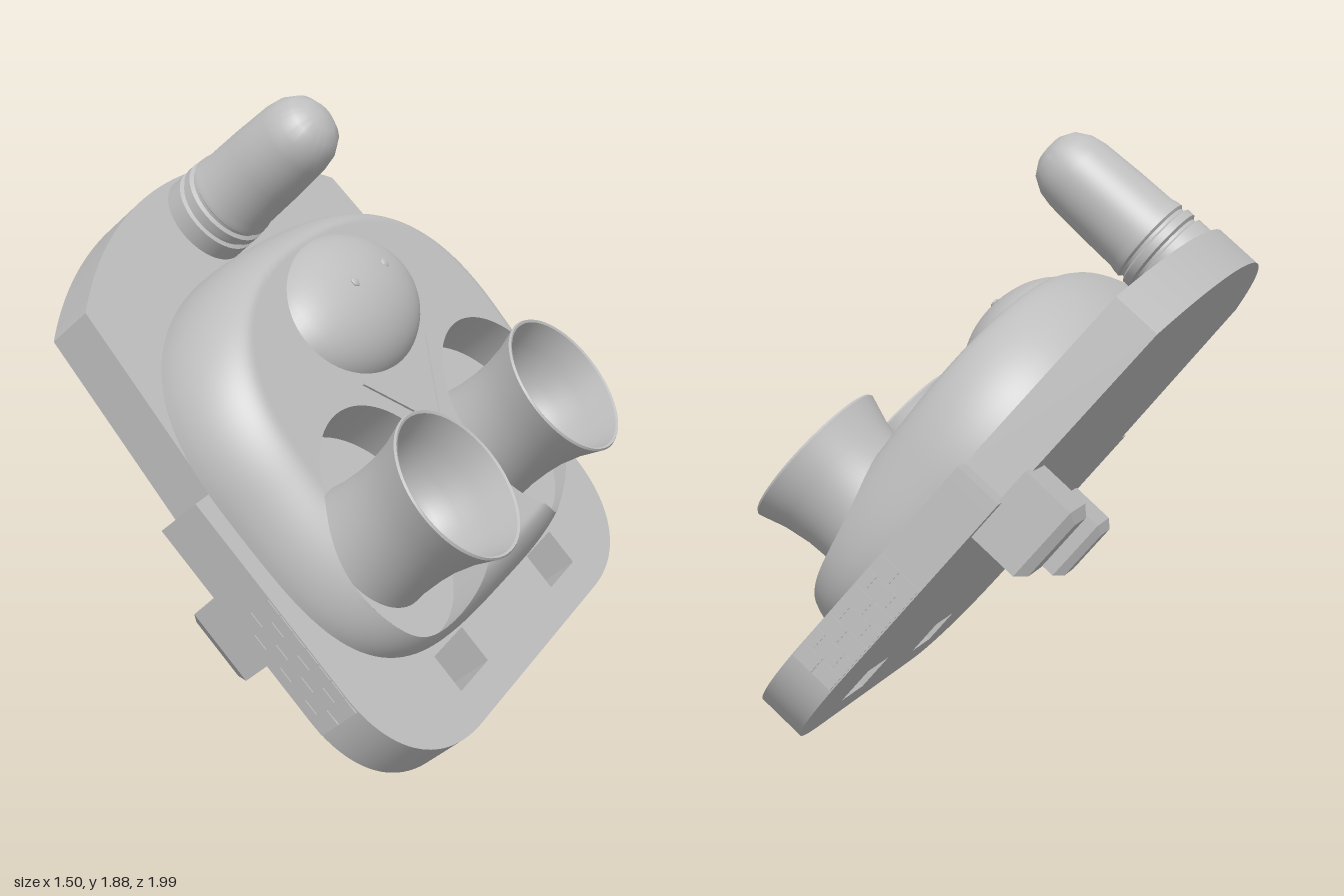
import * as THREE from 'three';
import { toCreasedNormals } from 'three/addons/utils/BufferGeometryUtils.js';

const grey = new THREE.MeshStandardMaterial({ color: 0xbebebe, side: THREE.DoubleSide });
grey.name = 'plain grey';

const THICK = 0.155;                                    // base plate thickness
const POCKET = { x: 0.443, y: 0.338, r: 0.35, floor: 0.045 };
const DOME = { a: 0.87, cy: 0.62, top: 0.655, bottom: 0.675 };

function add(parent, name, geo, x = 0, y = 0, z = 0) {
  const mesh = new THREE.Mesh(geo, grey);
  mesh.name = name;
  mesh.position.set(x, y, z);
  parent.add(mesh);
  return mesh;
}

// Turned part whose axis points out of the plate (+z)
function turned(points, segments = 64) {
  const geo = new THREE.LatheGeometry(points.map(p => new THREE.Vector2(p[0], p[1])), segments);
  geo.rotateX(Math.PI / 2);
  return toCreasedNormals(geo, 0.6);
}

// Plate outline: wide rounded lower half, narrower arched upper half, two slots
function plateGeometry() {
  const s = new THREE.Shape();
  s.moveTo(-0.94, 0.73);
  s.lineTo(-0.94, 0.05);
  s.bezierCurveTo(-0.94, -0.16, -0.78, -0.3, -0.5, -0.3);
  s.lineTo(0.5, -0.3);
  s.bezierCurveTo(0.78, -0.3, 0.94, -0.16, 0.94, 0.05);
  s.lineTo(0.94, 0.73);
  s.lineTo(0.86, 0.73);
  s.lineTo(0.8, 1.355);
  s.absarc(0, 0.15, 1.445, 0.985, Math.PI - 0.985, false);
  s.lineTo(-0.86, 0.73);
  s.closePath();
  for (const x of [-0.38, 0.38]) {
    const h = new THREE.Path();
    h.moveTo(x - 0.105, -0.19);
    h.lineTo(x - 0.105, -0.06);
    h.lineTo(x + 0.105, -0.06);
    h.lineTo(x + 0.105, -0.19);
    h.closePath();
    s.holes.push(h);
  }
  const geo = new THREE.ExtrudeGeometry(s, { depth: THICK, bevelEnabled: false, curveSegments: 32 });
  return toCreasedNormals(geo, 0.5);
}

// Superellipse half sizes and power, above and below the widest line
const half = up => (up ? [DOME.top, 2.5] : [DOME.bottom, 3.5]);

// Height of the raised body: gently sloped top with a rounded rim
function domeHeight(x, y) {
  const [b, p] = half(y > DOME.cy);
  const s = Math.pow(Math.abs(x / DOME.a) ** p + Math.abs((y - DOME.cy) / b) ** p, 1 / p);
  const t = Math.min(1, Math.max(0, (s - 0.84) / 0.16));
  return (0.195 + 0.055 * y) * Math.pow(1 - t ** 1.5, 0.55);
}

// Polar height field; points inside a pocket slide out to its rim, inner faces are dropped
function domeGeometry() {
  const rings = 56, segs = 192, pos = [], inside = [], index = [];
  for (let i = 0; i <= rings; i++) {
    const r = 1 - (1 - i / rings) ** 1.6;
    for (let j = 0; j < segs; j++) {
      const a = (j / segs) * Math.PI * 2, c = Math.cos(a), n = Math.sin(a);
      const [b, p] = half(n > 0);
      const k = r * Math.pow(Math.abs(c) ** p + Math.abs(n) ** p, -1 / p);
      let x = DOME.a * c * k, y = DOME.cy + b * n * k;
      const px = x < 0 ? -POCKET.x : POCKET.x;
      const d = Math.hypot(x - px, y - POCKET.y), cut = d < POCKET.r;
      if (cut) {
        const f = POCKET.r / Math.max(d, 1e-4);
        x = px + (x - px) * f;
        y = POCKET.y + (y - POCKET.y) * f;
      }
      inside.push(cut);
      pos.push(x, y, domeHeight(x, y));
    }
  }
  const face = (a, b, c) => { if (!(inside[a] && inside[b] && inside[c])) index.push(a, b, c); };
  for (let i = 0; i < rings; i++) {
    for (let j = 0; j < segs; j++) {
      const a = i * segs + j, b = i * segs + (j + 1) % segs;
      if (i > 0) face(a, a + segs, b);
      face(b, a + segs, b + segs);
    }
  }
  const geo = new THREE.BufferGeometry();
  geo.setAttribute('position', new THREE.Float32BufferAttribute(pos, 3));
  geo.setIndex(index);
  return toCreasedNormals(geo, 0.6);
}

// Pocket wall whose upper edge follows the body surface
function pocketWall(cx) {
  const geo = new THREE.CylinderGeometry(POCKET.r, POCKET.r, 1, 96, 1, true).rotateX(Math.PI / 2);
  const p = geo.attributes.position;
  for (let i = 0; i < p.count; i++) {
    const h = domeHeight(p.getX(i) + cx, p.getY(i) + POCKET.y);
    p.setZ(i, p.getZ(i) > 0 ? h : 0);
  }
  return geo;
}

// Square foot with a chamfered end
function footGeometry() {
  const geo = new THREE.BoxGeometry(0.2, 0.245, 0.2, 1, 1, 2).toNonIndexed();
  const p = geo.attributes.position;
  for (let i = 0; i < p.count; i++) {
    const z = p.getZ(i);
    if (z < -0.05) p.setXY(i, p.getX(i) * 0.78, p.getY(i) * 0.81);
    else if (z < 0.05) p.setZ(i, -0.07);
  }
  geo.computeVertexNormals();
  return geo;
}

export function createModel() {
  const model = new THREE.Group();
  model.name = 'tiltedFacePlate';

  // Tilted frame: x across the plate, y up the plate, z out of it
  const ax = new THREE.Vector3(-0.167, 0.09, -0.98).normalize();
  const ay = new THREE.Vector3(-0.625, 0.757, 0.175);
  const az = new THREE.Vector3().crossVectors(ax, ay).normalize();
  ay.crossVectors(az, ax);
  const body = new THREE.Group();
  body.name = 'tiltedBody';
  body.quaternion.setFromRotationMatrix(new THREE.Matrix4().makeBasis(ax, ay, az));
  body.position.copy(ax).multiplyScalar(0.037).addScaledVector(az, 0.402);
  body.position.x -= 0.017;
  body.position.y += 0.009;
  model.add(body);

  add(body, 'basePlate', plateGeometry());

  const top = new THREE.Group();
  top.name = 'topParts';
  top.position.z = THICK;
  body.add(top);
  add(top, 'raisedBody', domeGeometry());

  // Cups in round pockets
  const cup = turned([[0, 0.03], [0.212, 0.03], [0.204, 0.09], [0.202, 0.17], [0.206, 0.24], [0.222, 0.325],
    [0.25, 0.41], [0.246, 0.417], [0.238, 0.413], [0.212, 0.32], [0.188, 0.24], [0.153, 0.18], [0.105, 0.14],
    [0.05, 0.122], [0, 0.118]]);
  for (const side of [-1, 1]) {
    const x = side * POCKET.x;
    add(top, 'pocketWall', pocketWall(x), x, POCKET.y, 0);
    add(top, 'pocketFloor', new THREE.CircleGeometry(POCKET.r, 64), x, POCKET.y, POCKET.floor);
    add(top, 'cup', cup, x, POCKET.y - 0.026, 0);
  }

  // Rounded snout with two small nostrils
  const snout = add(top, 'snout', new THREE.SphereGeometry(1, 48, 32), 0, 0.935, 0.18);
  snout.scale.set(0.385, 0.25, 0.185);
  for (const side of [-1, 1]) {
    const dot = add(top, 'nostril', new THREE.SphereGeometry(0.016, 16, 10), side * 0.106, 0.97, 0.356);
    dot.scale.z = 0.4;
  }

  // V-shaped mouth line
  for (const side of [-1, 1]) {
    const line = add(top, 'mouthLine', new THREE.BoxGeometry(0.35, 0.012, 0.009), side * 0.118, 0.585, 0.2295);
    line.rotation.set(0.055, 0, side * Math.atan2(0.25, 0.235));
  }

  // Round-ended post with rings at its foot
  add(top, 'post', turned([[0.15, 0], [0.15, 0.06], [0.138, 0.066], [0.138, 0.076], [0.15, 0.083], [0.15, 0.108],
    [0.138, 0.115], [0.138, 0.125], [0.147, 0.132], [0.145, 0.15], [0.14, 0.17], [0.137, 0.3], [0.13, 0.44],
    [0.12, 0.49], [0.094, 0.535], [0.055, 0.56], [0, 0.568]]), -0.005, 1.43, 0);

  // Staggered brick courses on the two side edges
  for (const side of [-1, 1]) {
    for (let row = 0; row < 7; row++) {
      const bricks = row % 2 ? [[0.02, 0.032], [0.0775, 0.07], [0.135, 0.032]] : [[0.04, 0.07], [0.115, 0.07]];
      for (const [z, length] of bricks) {
        add(body, 'brick', new THREE.BoxGeometry(0.008, 0.052, length), side * 0.94, 0.02 + row * 0.058, z);
      }
    }
  }

  // Feet under the plate
  const foot = footGeometry();
  add(body, 'upperFoot', foot, 0.8, 0.72, -0.09);
  add(body, 'lowerFoot', foot, -0.76, 0.36, -0.09);

  return model;
}
